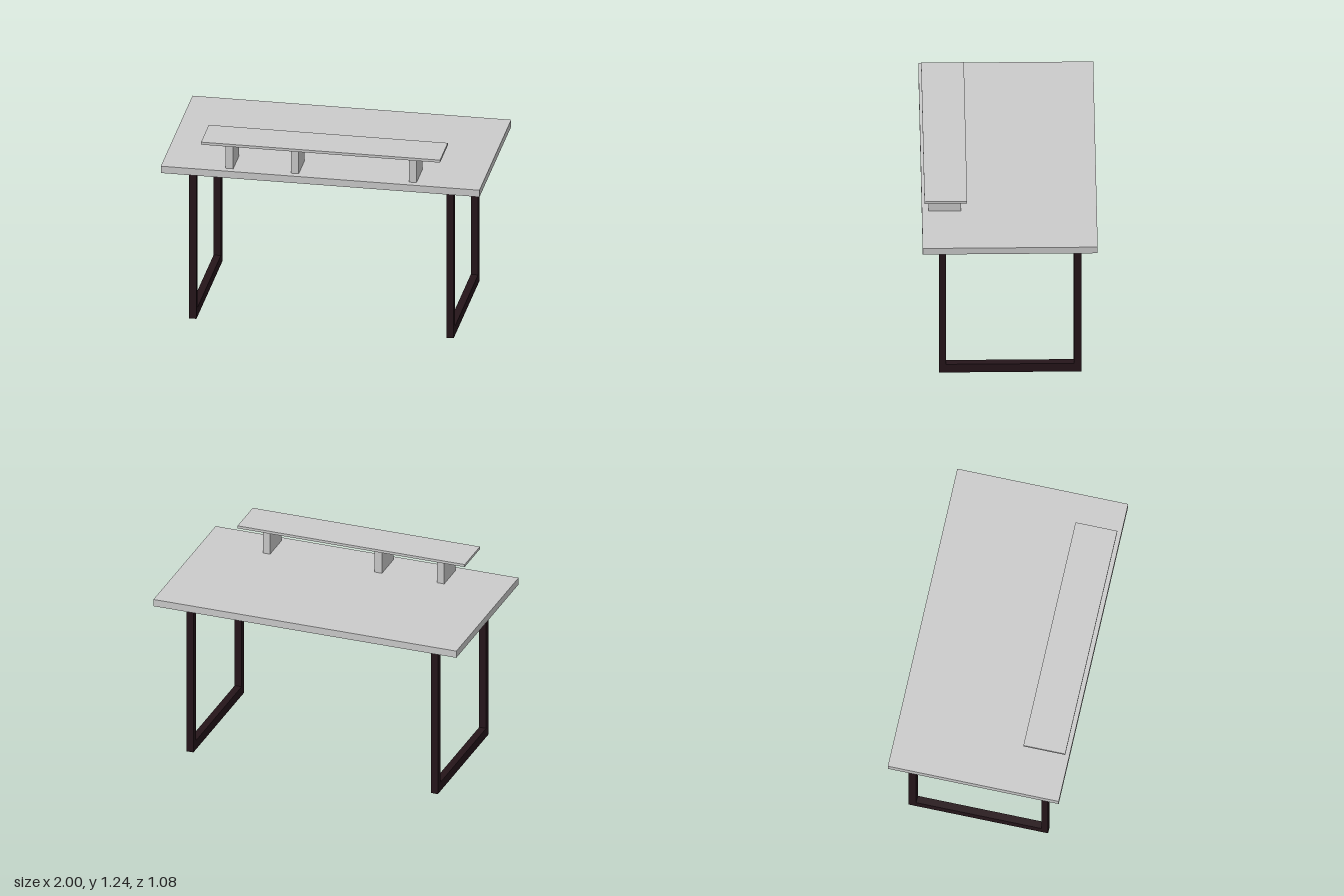
import * as THREE from 'three';

const grey = new THREE.MeshStandardMaterial({ color: 0xcccccc });
const dark = new THREE.MeshStandardMaterial({ color: 0x25151a });

// Box given by its low and high limits on each axis
function block(name, [x0, x1], [y0, y1], [z0, z1]) {
  const mesh = new THREE.Mesh(new THREE.BoxGeometry(x1 - x0, y1 - y0, z1 - z0), grey);
  mesh.position.set((x0 + x1) / 2, (y0 + y1) / 2, (z0 + z1) / 2);
  mesh.name = name;
  return mesh;
}

function rectangle(target, x0, x1, y0, y1) {
  return target.moveTo(x0, y0).lineTo(x1, y0).lineTo(x1, y1).lineTo(x0, y1).closePath();
}

// Closed rectangular leg loop standing in the zy plane
function legFrame(name, x) {
  const thickness = 0.046;
  const shape = rectangle(new THREE.Shape(), -0.443, 0.438, 0, 1.015);
  shape.holes.push(rectangle(new THREE.Path(), -0.395, 0.395, 0.061, 0.948));
  const geometry = new THREE.ExtrudeGeometry(shape, { depth: thickness, bevelEnabled: false });
  geometry.translate(0, 0, -thickness / 2).rotateY(-Math.PI / 2);
  const mesh = new THREE.Mesh(geometry, dark);
  mesh.position.x = x;
  mesh.name = name;
  return mesh;
}

export function createModel() {
  const desk = new THREE.Group();
  desk.name = 'desk';

  // Worktop on two leg loops
  desk.add(block('tabletop', [-1, 1], [1.015, 1.061], [-0.54, 0.54]));
  desk.add(legFrame('rightLegFrame', -0.818), legFrame('leftLegFrame', 0.796));

  // Raised shelf with three unevenly spaced supports
  desk.add(block('shelf', [-0.75, 0.75], [1.221, 1.238], [0.262, 0.526]));
  for (const x of [-0.577, -0.166, 0.573]) {
    desk.add(block('shelfSupport', [x - 0.024, x + 0.024], [1.061, 1.221], [0.298, 0.498]));
  }
  return desk;
}
